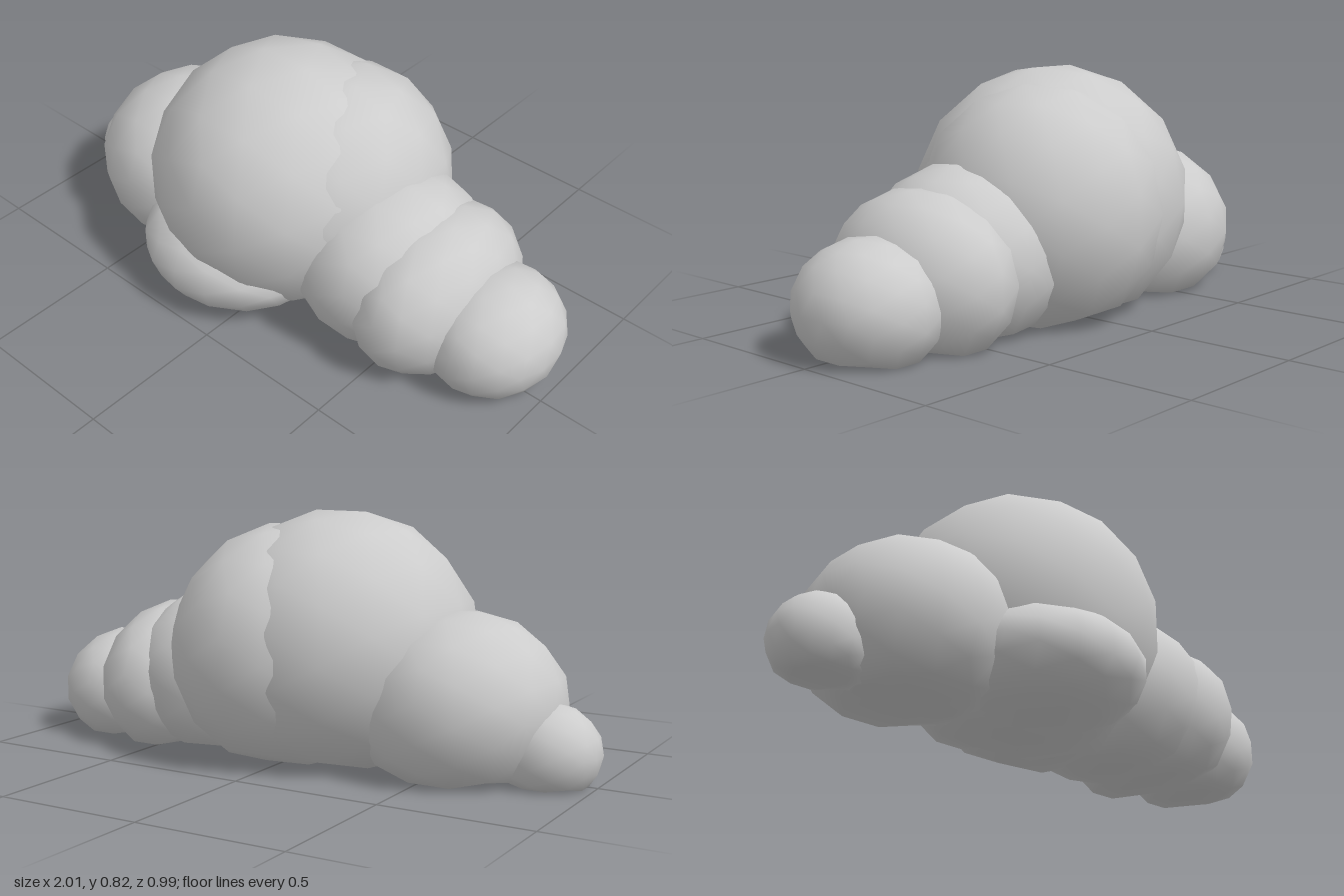
import * as THREE from 'three';
import { mergeVertices } from 'three/addons/utils/BufferGeometryUtils.js';

const BASE = 0.008;

// A low-poly, smooth-shaded ellipsoid, flattened where it meets the ground
function puffGeometry([cx, cy, cz], [rx, ry, rz], turn) {
  let geo = new THREE.IcosahedronGeometry(1, 2);
  geo.deleteAttribute('uv');
  geo.deleteAttribute('normal');
  geo = mergeVertices(geo, 1e-4);
  geo.rotateY(turn);
  geo.scale(rx, ry, rz);
  geo.translate(cx, cy, cz);
  const p = geo.attributes.position;
  for (let i = 0; i < p.count; i++) p.setY(i, Math.max(p.getY(i), BASE));
  geo.translate(0, -BASE, 0);
  geo.computeVertexNormals();
  return geo;
}

export function createModel() {
  const cloud = new THREE.Group();
  cloud.name = 'cloud';
  const grey = new THREE.MeshStandardMaterial({ color: 0xcccccc });
  grey.name = 'cloudGrey';

  // name, centre, radii, turn about y
  const puffs = [
    ['mainDome', [-0.09, 0.38, 0.0], [0.47, 0.455, 0.465], 0],
    ['backDome', [0.06, 0.37, -0.08], [0.39, 0.42, 0.425], 0],
    ['frontBase', [-0.15, 0.16, 0.17], [0.35, 0.19, 0.33], 0],
    ['leftShoulder', [0.36, 0.25, -0.02], [0.32, 0.3, 0.34], 0.2],
    ['leftPuff', [0.55, 0.21, -0.025], [0.245, 0.28, 0.345], 0],
    ['leftEnd', [0.78, 0.16, -0.035], [0.225, 0.21, 0.25], 0],
    ['rightPuff', [-0.54, 0.22, -0.01], [0.35, 0.31, 0.35], 0],
    ['rightEnd', [-0.84, 0.11, -0.02], [0.175, 0.155, 0.16], 0],
  ];
  for (const [name, centre, radii, turn] of puffs) {
    const mesh = new THREE.Mesh(puffGeometry(centre, radii, turn), grey);
    mesh.name = name;
    cloud.add(mesh);
  }
  return cloud;
}
